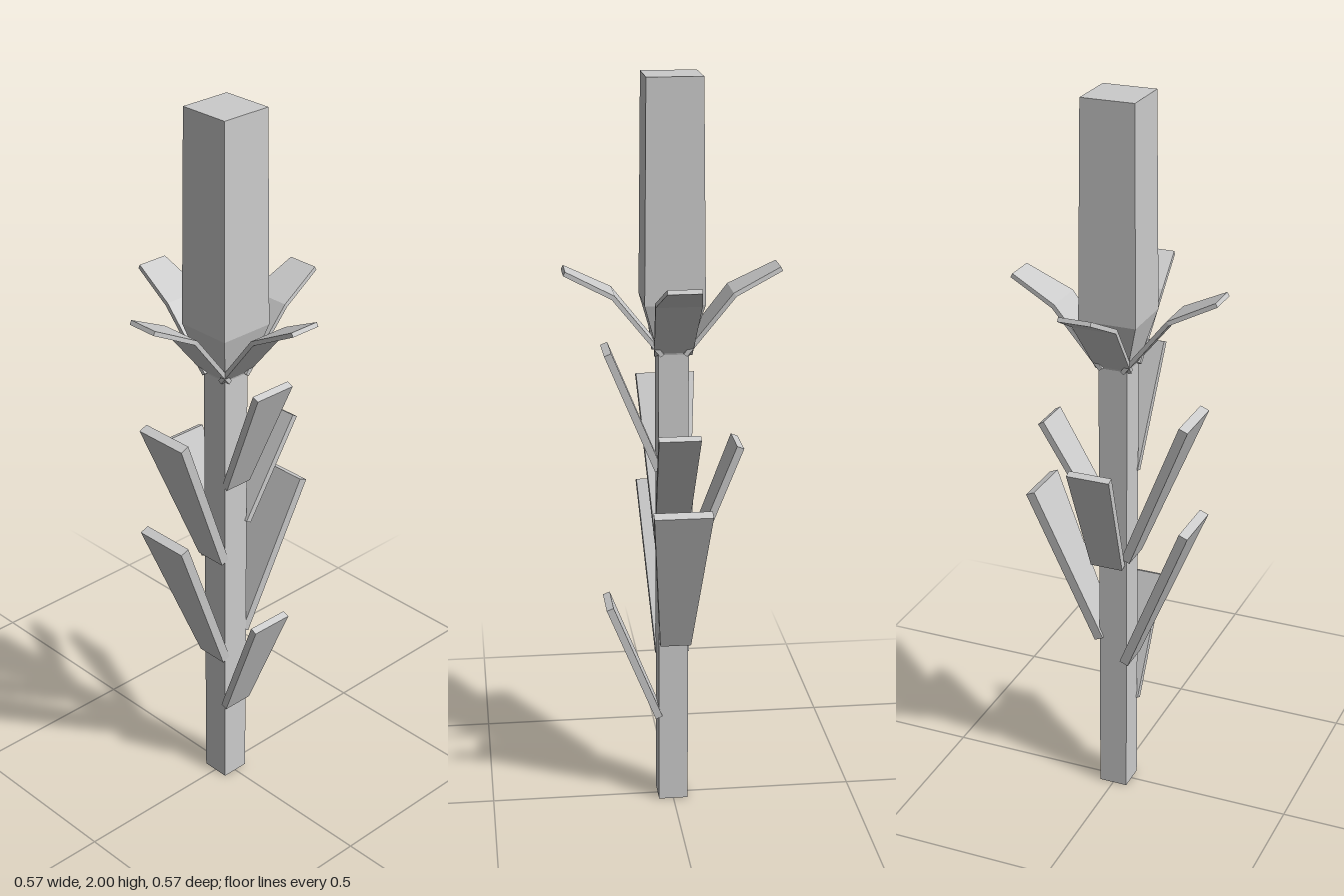
import * as THREE from 'three';

const material = new THREE.MeshStandardMaterial({ color: 0xcccccc, flatShading: true });

// Square, tapered column between two heights (half widths at the bottom and top)
function column(name, y0, y1, half0, half1, open = false) {
  const geo = new THREE.CylinderGeometry(half1 * Math.SQRT2, half0 * Math.SQRT2, y1 - y0, 4, 1, open);
  geo.rotateY(Math.PI / 4).translate(0, (y0 + y1) / 2, 0);
  const mesh = new THREE.Mesh(geo, material);
  mesh.name = name;
  return mesh;
}

// Flat blade of rectangular cross-sections swept along [radius, height, halfWidth] points
function blade(name, path, thickness, angle, shift = 0) {
  const positions = [], index = [];
  const dirs = path.slice(1).map((p, i) => new THREE.Vector2(p[0] - path[i][0], p[1] - path[i][1]).normalize());
  path.forEach(([r, y, w], i) => {
    const before = dirs[Math.max(i - 1, 0)], after = dirs[Math.min(i, dirs.length - 1)];
    const t = before.clone().add(after).normalize();
    const k = thickness / 2 / t.dot(after); // mitred half thickness
    for (const [sx, sn] of [[1, 1], [-1, 1], [-1, -1], [1, -1]]) {
      positions.push(shift + sx * w, y + sn * k * t.x, r - sn * k * t.y);
    }
  });
  for (let i = 0; i < path.length - 1; i++) {
    for (let j = 0; j < 4; j++) {
      const a = i * 4 + j, b = i * 4 + (j + 1) % 4;
      index.push(a, b, b + 4, a, b + 4, a + 4);
    }
  }
  const e = (path.length - 1) * 4;
  index.push(0, 3, 2, 0, 2, 1, e, e + 1, e + 2, e, e + 2, e + 3);
  const indexed = new THREE.BufferGeometry();
  indexed.setAttribute('position', new THREE.Float32BufferAttribute(positions, 3));
  indexed.setIndex(index);
  const geo = indexed.toNonIndexed();
  geo.computeVertexNormals();
  const mesh = new THREE.Mesh(geo, material);
  mesh.name = name;
  mesh.rotation.y = angle;
  return mesh;
}

export function createModel() {
  const group = new THREE.Group();
  group.name = 'flowerStalk';

  // Stem and closed bud
  group.add(column('stem', 0, 1.3, 0.04, 0.04));
  group.add(column('budBase', 1.28, 1.42, 0.04, 0.079, true));
  group.add(column('bud', 1.42, 2, 0.079, 0.073));

  // Four bent sepals under the bud
  const sepalPath = [[0.03, 1.28, 0.05], [0.158, 1.44, 0.06], [0.282, 1.502, 0.044]];
  for (let i = 0; i < 4; i++) {
    group.add(blade('sepal', sepalPath, 0.012, i * Math.PI / 2));
  }

  // Stem leaves: angle, base [radius, height, halfWidth], tip, thickness, sideways shift
  const FRONT = 0, LEFT = Math.PI / 2, BACK = Math.PI, RIGHT = -Math.PI / 2;
  const leaves = [
    ['lowerFrontLeaf', FRONT, [0.04, 0.25, 0.045], [0.174, 0.583, 0.062], 0.02, 0],
    ['upperFrontLeaf', FRONT, [0.04, 0.965, 0.042], [0.174, 1.29, 0.062], 0.02, 0],
    ['backLeaf', BACK, [0.05, 0.71, 0.046], [0.175, 1.03, 0.06], 0.02, -0.011],
    ['lowerLeftLeaf', LEFT, [0.04, 0.47, 0.042], [0.224, 0.9, 0.077], 0.026, 0.005],
    ['upperLeftLeaf', LEFT, [0.04, 0.83, 0.046], [0.202, 1.1, 0.055], 0.018, -0.002],
    ['lowerRightLeaf', RIGHT, [0.036, 0.41, 0.046], [0.218, 0.857, 0.08], 0.026, -0.005],
    ['upperRightLeaf', RIGHT, [0.04, 0.732, 0.046], [0.214, 1.163, 0.08], 0.026, -0.005],
  ];
  for (const [name, angle, base, tip, thickness, shift] of leaves) {
    group.add(blade(name, [base, tip], thickness, angle, shift));
  }
  return group;
}
